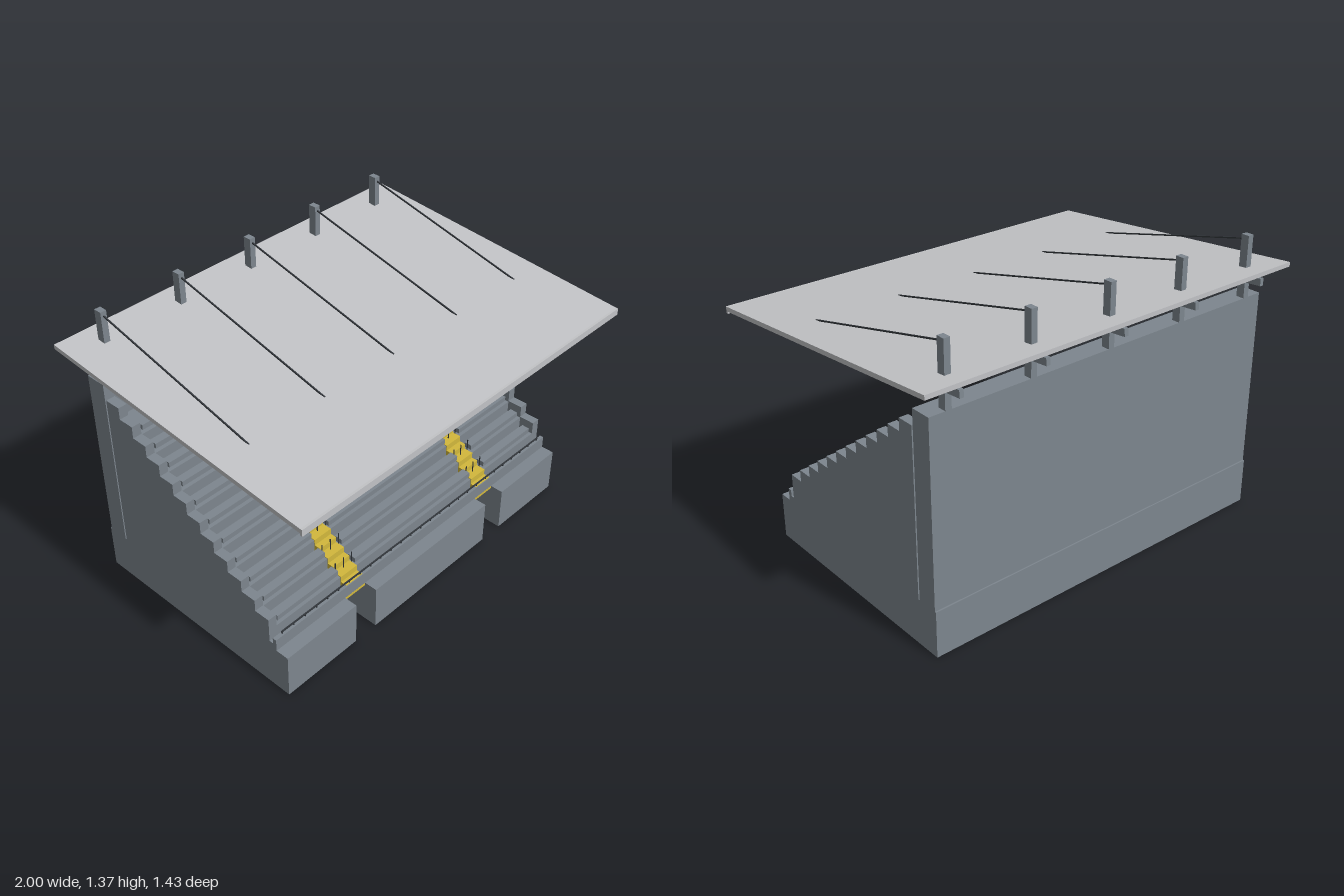
import * as THREE from 'three';

const mat = (name, color, extra = {}) => {
  const m = new THREE.MeshStandardMaterial({ color, ...extra });
  m.name = name;
  return m;
};

const RUN = 0.0779, RISE = 0.0577, ROWS = 11, AISLE = 0.445;

export function createModel() {
  const concrete = mat('concrete grey', 0x7d868e);
  const roofMat = mat('roof light grey', 0xc2c3c6);
  const yellow = mat('stair yellow', 0xd2b83c);
  const dark = mat('dark steel', 0x33373c);
  const model = new THREE.Group();
  model.name = 'grandstand';

  const add = (name, geo, material, parent = model) => {
    const mesh = new THREE.Mesh(geo, material);
    mesh.name = name;
    parent.add(mesh);
    return mesh;
  };
  const group = (name) => {
    const g = new THREE.Group();
    g.name = name;
    model.add(g);
    return g;
  };
  // box given by its limits on each axis
  const box = (name, x0, x1, y0, y1, z0, z1, material, parent) => {
    const mesh = add(name, new THREE.BoxGeometry(x1 - x0, y1 - y0, z1 - z0), material, parent);
    mesh.position.set((x0 + x1) / 2, (y0 + y1) / 2, (z0 + z1) / 2);
    return mesh;
  };
  const shapeOf = (pts) => new THREE.Shape(pts.map(([a, b]) => new THREE.Vector2(a, b)));
  // side profile of [z, y] points, extruded from x0 to x1
  const profileX = (pts, x0, x1) =>
    new THREE.ExtrudeGeometry(shapeOf(pts), { depth: x1 - x0, bevelEnabled: false })
      .rotateY(-Math.PI / 2).translate(x1, 0, 0);
  // straight bar in the yz plane between two [z, y] points
  const bar = (name, x, a, b, width, height, material, parent) => {
    const dz = b[0] - a[0], dy = b[1] - a[1];
    const mesh = add(name, new THREE.BoxGeometry(width, height, Math.hypot(dz, dy)), material, parent);
    mesh.position.set(x, (a[1] + b[1]) / 2, (a[0] + b[0]) / 2);
    mesh.rotation.x = -Math.atan2(dy, dz);
    return mesh;
  };

  // plinth with two entrance passages cut into the front
  const plan = [[-0.92, -0.632], [0.92, -0.632], [0.92, 0.525]];
  for (const c of [AISLE, -AISLE]) {
    plan.push([c + 0.063, 0.525], [c + 0.063, 0.26], [c - 0.063, 0.26], [c - 0.063, 0.525]);
  }
  plan.push([-0.92, 0.525]);
  add('plinth', new THREE.ExtrudeGeometry(shapeOf(plan), { depth: 0.22, bevelEnabled: false })
    .rotateX(Math.PI / 2).translate(0, 0.22, 0), concrete);

  // stepped seating deck
  const treadY = (i) => 0.25 + RISE * i;
  const treadZ = (i) => (i === 0 ? 0.46 : 0.42 - RUN * (i - 1));
  const deck = [[-0.525, 0.22], [0.46, 0.22]];
  for (let i = 0; i <= ROWS; i++) {
    deck.push([treadZ(i), treadY(i)], [treadZ(i + 1), treadY(i)]);
  }
  deck[deck.length - 1][0] = -0.525;
  add('seatingDeck', profileX(deck, -0.877, 0.877), concrete);

  // stepped side walls
  const wall = [[-0.517, 0.22], [0.46, 0.22], [0.46, 0.25], [0.42, 0.25]];
  for (let j = 0; j < 12; j++) {
    const z = 0.42 - RUN * j, y = 0.37 + RISE * j;
    wall.push([z, y], [j === 11 ? -0.517 : z - RUN, y]);
  }
  add('leftSideWall', profileX(wall, 0.876, 0.92), concrete);
  add('rightSideWall', profileX(wall, -0.92, -0.876), concrete);

  box('backWall', -0.92, 0.92, 0.22, 1.08, -0.625, -0.525, concrete);

  // benches on low supports, split by the aisles
  const benches = group('benches');
  for (let i = 1; i <= ROWS; i++) {
    const y = treadY(i), z = treadZ(i) - 0.03;
    for (const [x0, x1] of [[-0.86, -0.5], [-0.395, 0.395], [0.5, 0.86]]) {
      box('bench', x0, x1, y + 0.01, y + 0.035, z - 0.02, z + 0.02, concrete, benches);
      box('benchSupport', x0 + 0.01, x1 - 0.01, y, y + 0.01, z - 0.008, z + 0.008, concrete, benches);
    }
  }

  // yellow aisle stairs with half steps and slim posts
  const stairs = group('aisleStairs');
  for (const c of [-AISLE, AISLE]) {
    const x0 = c - 0.05, x1 = c + 0.05;
    for (let i = 0; i <= ROWS; i++) {
      const y = treadY(i), back = treadZ(i + 1);
      const front = i === 0 ? 0.438 : treadZ(i) + 0.003;
      box('stairTread', x0, x1, y - (i ? RISE / 2 : 0), y + 0.003, back, front, yellow, stairs);
      box('halfStep', x0, x1, y, y + RISE / 2 + 0.002, back, back + RUN * 0.45, yellow, stairs);
      if (i === 0) continue;
      for (const dx of [-0.051, 0, 0.051]) {
        box('aislePost', c + dx - 0.0015, c + dx + 0.0015, y, y + 0.062,
          treadZ(i) - 0.032, treadZ(i) - 0.028, dark, stairs);
      }
    }
    box('passageLintel', c - 0.063, c + 0.063, 0.206, 0.219, 0.452, 0.46, yellow, stairs);
  }

  // front parapet with a low rail
  const parapet = group('frontParapet');
  box('parapetPanel', -0.92, 0.92, 0.22, 0.28, 0.44, 0.46, concrete, parapet);
  box('parapetRail', -0.88, 0.88, 0.29, 0.296, 0.447, 0.453, dark, parapet);
  for (let k = 0; k <= 26; k++) {
    const x = -0.875 + (k * 1.75) / 26;
    box('railPost', x - 0.002, x + 0.002, 0.28, 0.292, 0.448, 0.452, dark, parapet);
  }

  // sloping roof with a front lip
  add('roof', profileX([
    [-0.716, 1.211], [0.705, 1.083], [0.705, 1.073], [0.716, 1.073],
    [0.716, 1.105], [0.705, 1.105], [-0.716, 1.232],
  ], -1, 1), roofMat);

  // roof frames: mast, beam and stay cable
  const frames = group('roofFrames');
  for (let k = -2; k <= 2; k++) {
    const x = k * 0.414;
    box('mast', x - 0.015, x + 0.015, 1.0, 1.37, -0.625, -0.585, concrete, frames);
    bar('roofBeam', x, [-0.705, 1.178], [0.65, 1.057], 0.02, 0.034, concrete, frames);
    bar('stayCable', x, [-0.59, 1.348], [0.262, 1.143], 0.006, 0.006, dark, frames);
  }

  return model;
}
